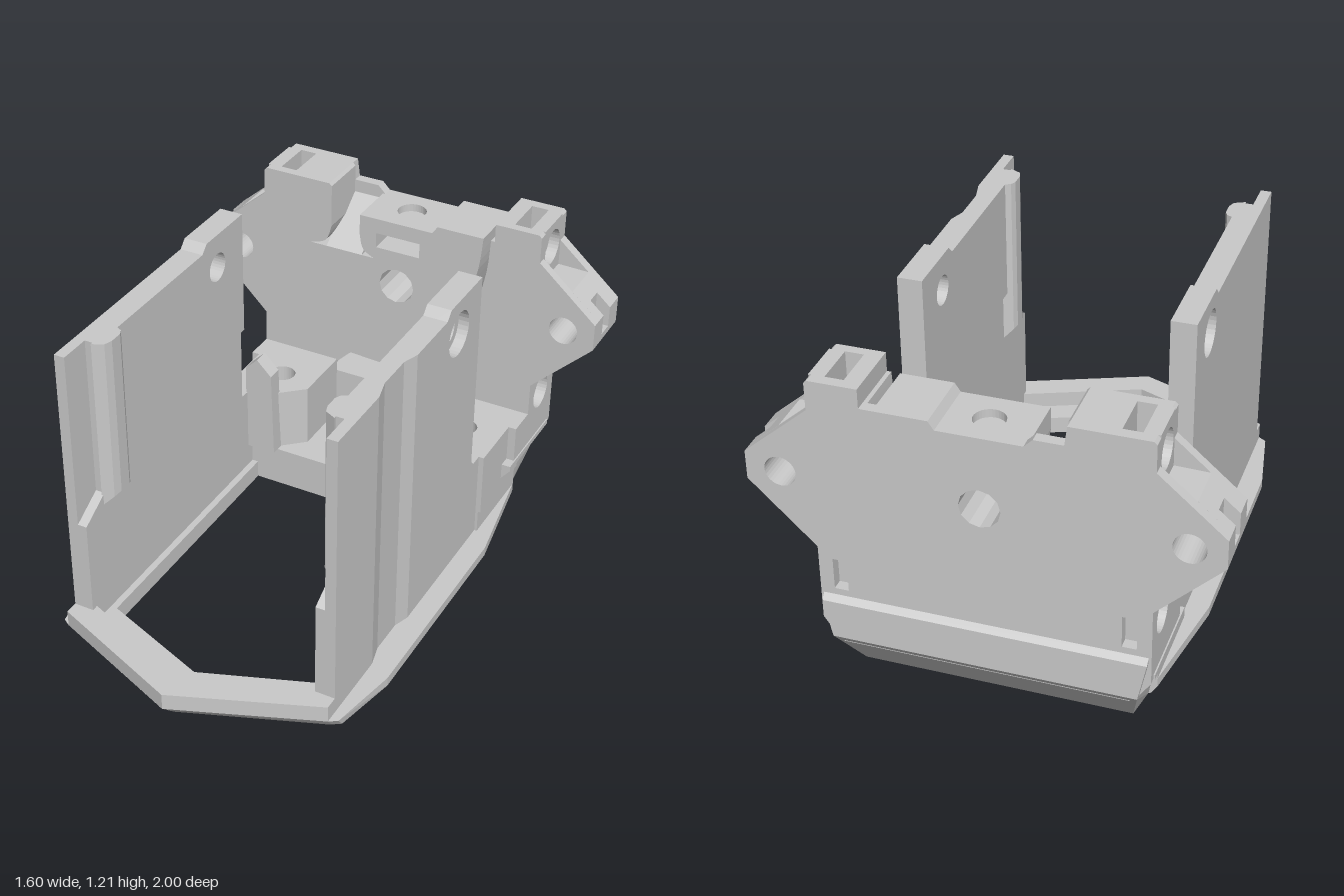
import * as THREE from 'three';
import { ConvexGeometry } from 'three/addons/geometries/ConvexGeometry.js';

export function createModel() {
  const root = new THREE.Group();
  const grey = new THREE.MeshStandardMaterial({ color: 0xcacaca });
  grey.name = 'grey plastic';

  const add = (name, geo) => {
    const m = new THREE.Mesh(geo, grey);
    m.name = name;
    root.add(m);
  };
  // holes: [x, y, radius, sides] for round ones, or a list of points
  const extrude = (pts, depth, holes = []) => {
    const shape = new THREE.Shape(pts.map(p => new THREE.Vector2(...p)));
    for (const h of holes) {
      const path = new THREE.Path();
      if (Array.isArray(h[0])) path.setFromPoints(h.map(p => new THREE.Vector2(...p)));
      else {
        const n = h[3] || 32;
        path.setFromPoints(Array.from({ length: n }, (_, i) => {
          const a = (i / n) * Math.PI * 2;
          return new THREE.Vector2(h[0] + h[2] * Math.cos(a), h[1] + h[2] * Math.sin(a));
        }));
      }
      shape.holes.push(path);
    }
    return new THREE.ExtrudeGeometry(shape, { depth, bevelEnabled: false });
  };
  // Profiles in (x,y), (z,y) and (x,z), extruded along the remaining axis
  const alongZ = (pts, z0, z1, holes) => extrude(pts, z1 - z0, holes).translate(0, 0, z0);
  const alongX = (pts, a, b, holes) =>
    extrude(pts, Math.abs(b - a), holes).rotateY(-Math.PI / 2).translate(Math.max(a, b), 0, 0);
  const alongY = (pts, y0, y1, holes) => extrude(pts, y1 - y0, holes).rotateX(Math.PI / 2).translate(0, y1, 0);
  const rect = (a, b, c, d) => [[a, b], [c, b], [c, d], [a, d]];
  const flip = pts => pts.map(([x, y]) => [-x, y]).reverse();
  const mirrored = half => [...half, ...flip(half)];
  const curve = pts => new THREE.SplineCurve(pts.map(p => new THREE.Vector2(...p))).getPoints(14).map(p => [p.x, p.y]);

  const screws = [[-0.39, -0.55, 0.052], [0.39, -0.55, 0.052]];

  // Base frame in two layers; the outer edge draws in towards the bottom
  for (const [y0, y1] of [[0, 0.035], [0.035, 0.07]]) {
    const frame = alongY(
      mirrored([[0.53, -0.745], [0.6, -0.32], [0.6, 0.5], [0.55, 0.77], [0.52, 0.79], [0.001, 1]]), y0, y1,
      [mirrored([[0.42, -0.4], [0.42, 0.63], [0.001, 0.79]]), ...screws]);
    const p = frame.attributes.position;
    for (let i = 0; i < p.count; i++) {
      const x = p.getX(i), y = p.getY(i), z = p.getZ(i);
      if (Math.abs(x) > 0.45 && y < 0.01) p.setX(i, x * 0.955);
      if (z > 0.9 || (z > 0.7 && Math.abs(x) > 0.45)) p.setZ(i, z * (0.93 + y));
    }
    frame.computeVertexNormals();
    add('baseFrame', frame);
  }
  add('frontLip', alongY([[0, 1], [-0.52, 0.79], [-0.52, 0.7], [-0.48, 0.7], [0, 0.895], [0.48, 0.7], [0.52, 0.7], [0.52, 0.79]], 0.07, 0.133));
  add('rearFloor', alongY(rect(-0.53, -0.745, 0.53, -0.4), 0.07, 0.16, screws));

  // Sloped rear hull, narrower at the bottom
  const hull = [];
  for (const s of [-1, 1]) {
    for (const [x, y, z] of [[0.5, 0, -0.745], [0.48, 0, -0.86], [0.53, 0.19, -0.745], [0.53, 0.19, -1],
      [0.56, 0.335, -1], [0.56, 0.355, -0.98], [0.56, 0.355, -0.75]])
      hull.push(new THREE.Vector3(s * x, y, z));
  }
  add('rearHull', new ConvexGeometry(hull));

  for (const s of [-1, 1]) {
    const side = s > 0 ? 'left' : 'right';
    const sx = pts => (s > 0 ? pts : flip(pts));

    // Side wall: outer skin with counterbore, thicker inner layer above a step
    const wall = front => [[front, 0.07], [front, 1.18], [-0.05, 1.18], [-0.08, 1.21], [-0.33, 1.21],
      [-0.33, 0.43], [-0.35, 0.41], [-0.745, 0.41], [-0.745, 0.07]];
    add(side + 'WallOuter', alongX(wall(s > 0 ? 0.1 : 0.74), s * 0.48, s * 0.52, [[-0.15, 1.08, 0.085]]));
    add(side + 'WallInner', alongX([[0.62, 0.72], [0.62, 1.18], [-0.05, 1.18], [-0.08, 1.21], [-0.33, 1.21], [-0.33, 0.72]],
      s * 0.43, s * 0.48, [[-0.15, 1.08, 0.055]]));
    add(side + 'WallLower', alongX([[0.74, 0.07], [0.74, 0.5], [0.62, 0.57], [0.62, 0.72], [-0.33, 0.72], [-0.33, 0.41], [-0.4, 0.41], [-0.4, 0.07]],
      s * 0.445, s * 0.48));
    const collar = new THREE.RingGeometry(0.085, 0.105, 32).rotateY(s * Math.PI / 2);
    add(side + 'BoreCollar', collar.translate(s * 0.523, 1.08, -0.15));

    // Bead on the upper inside of the wall, tapering out at its lower end
    const bead = alongY(sx([[0.45, 0.49], [0.45, 0.63], [0.41, 0.61], [0.4, 0.58], [0.4, 0.53], [0.41, 0.51]]), 0.57, 1.18);
    const bp = bead.attributes.position;
    for (let i = 0; i < bp.count; i++)
      if (bp.getY(i) < 0.6) bp.setY(i, 0.57 - (Math.abs(bp.getX(i)) - 0.4));
    bead.computeVertexNormals();
    add(side + 'InnerBead', bead);

    // Post standing on the deck
    add(side + 'Post', alongZ(sx([[0.33, 0.16], [0.45, 0.16], [0.45, 0.52], [0.4, 0.57], [0.34, 0.51]]), -0.43, -0.37));

    // Screw block with a raised ring
    add(side + 'ScrewBlock', alongY(sx([[0.25, -0.745], [0.54, -0.745], [0.54, -0.4], [0.36, -0.4], [0.25, -0.5]]), 0.16, 0.41,
      [[s * 0.39, -0.55, 0.052]]));
    add(side + 'ScrewRing', new THREE.RingGeometry(0.052, 0.095, 32).rotateX(-Math.PI / 2).translate(s * 0.39, 0.413, -0.55));

    // Overhanging lug and flare beside the deck
    add(side + 'Lug', alongZ(sx([[0.5, 0.19], [0.53, 0.19], [0.575, 0.245], [0.575, 0.265], [0.5, 0.265]]), -0.95, -0.585));
    add(side + 'Flare', alongX(rect(-0.76, 0.25, -0.63, 0.41), s * 0.53, s * 0.57));

    // Round side sockets of the rear plate
    add(side + 'UpperSocket', alongX(rect(-0.94, 0.97, -0.78, 1.18), s * 0.53, s * 0.57, [[-0.86, 1.08, 0.068]]));
    add(side + 'LowerSocket', alongX(rect(-0.94, 0.36, -0.78, 0.54), s * 0.53, s * 0.57, [[-0.86, 0.45, 0.068]]));
    // Cheeks beside the slot in each wing tip
    for (const [a, b] of [[-0.94, -0.895], [-0.83, -0.78]])
      add(side + 'WingCheek', alongZ(sx([[0.745, 0.79], [0.8, 0.79], [0.8, 0.87], [0.745, 0.918]]), a, b));
  }

  // Front of the left wall's skin, with a shallow upright channel
  add('leftWallChannel', alongY([[0.48, 0.1], [0.52, 0.1], [0.52, 0.18], [0.5, 0.24], [0.5, 0.38], [0.52, 0.46], [0.52, 0.74], [0.48, 0.74]], 0.07, 1.18));

  // Rear plate in three layers: closed back, pocketed middle, front face
  const edge = mid => [
    [0.5, 0.16], [0.53, 0.19], [0.57, 0.25], [0.57, 0.36],
    ...(mid ? [[0.53, 0.36], [0.53, 0.54]] : []),
    [0.57, 0.54], [0.8, 0.765],
    ...(mid ? [[0.8, 0.79], [0.745, 0.79], [0.745, 0.918], [0.69, 0.966], [0.53, 0.97], [0.53, 1.18],
      [0.515, 1.18], [0.515, 1.06], [0.45, 1.06], [0.45, 1.18]]
      : [[0.8, 0.87], [0.57, 1.07], [0.57, 1.17], [0.56, 1.18]])];
  const groove = [
    ...curve([[0.375, 1.11], [0.36, 0.95], [0.3, 0.75], [0.14, 0.48]]),
    ...curve([[0.07, 0.48], [0.25, 0.72], [0.325, 0.95], [0.345, 1.11]])];
  const recess = [
    [-0.16, 1.05], ...curve([[-0.16, 1.0], [-0.145, 0.94], [-0.1, 0.91]]),
    ...curve([[-0.37, 0.91], [-0.305, 0.935], [-0.28, 1.0]]), [-0.28, 1.17], [-0.29, 1.18]];
  const plate = (mid, open) => [
    ...edge(mid), [0.39, 1.18], [0.39, 1.11], ...(open ? groove : []),
    [0.16, 1.11], [0.14, 1.08], [0.14, 1.05],
    ...(open ? recess : [[-0.15, 1.05], [-0.15, 1.08], [-0.18, 1.11], [-0.28, 1.11], [-0.29, 1.18]]),
    ...flip(edge(mid))];
  const through = [[0, 0.815, 0.071, 12], [0.68, 0.815, 0.055], [-0.68, 0.815, 0.055]];
  const cavity = [[-0.34, 0.17], [0.31, 0.17], [0.31, 0.21], [0.24, 0.27], [0.24, 0.33], [0.18, 0.38], [0.16, 0.44],
    [-0.19, 0.46], [-0.27, 0.38], [-0.29, 0.33], [-0.34, 0.33]];
  const nutSlot = rect(-0.09, 0.96, 0.09, 1.02);
  const backSlots = [rect(0.47, 0.38, 0.52, 0.5), rect(-0.52, 0.38, -0.47, 0.5)];
  add('plateBack', alongZ(plate(false, false), -0.98, -0.94, [...through, ...backSlots]));
  add('plateMiddle', alongZ(plate(true, true), -0.94, -0.78, [...through, cavity, nutSlot]));
  add('plateFront', alongZ(plate(false, true), -0.78, -0.745, [...through, cavity, nutSlot]));
  add('plateTopCap', alongY(rect(-0.16, -0.98, 0.14, -0.745), 1.05, 1.08, [[0, -0.865, 0.055]]));
  add('recessRamp', alongX([[-0.94, 1.06], [-0.94, 0.9], [-0.745, 0.9], [-0.745, 0.91]], -0.3, -0.15));

  return root;
}
